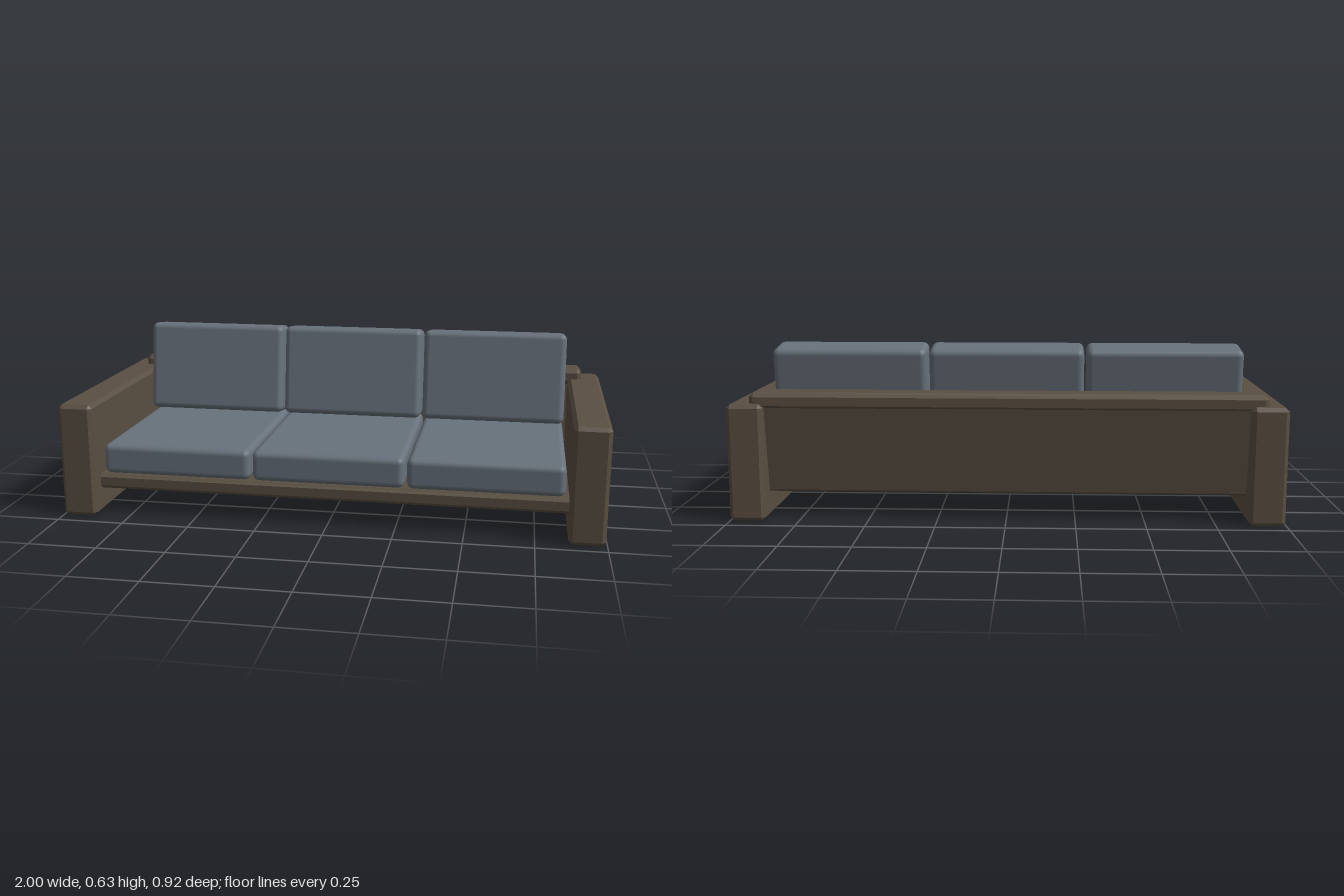
import * as THREE from 'three';
import { RoundedBoxGeometry } from 'three/addons/geometries/RoundedBoxGeometry.js';
import { ConvexGeometry } from 'three/addons/geometries/ConvexGeometry.js';

// Box with a single flat chamfer on every edge
function chamferBox(w, h, d, c) {
  const points = [];
  for (const sx of [-1, 1]) for (const sy of [-1, 1]) for (const sz of [-1, 1]) {
    const x = w / 2, y = h / 2, z = d / 2;
    points.push(
      new THREE.Vector3(sx * x, sy * (y - c), sz * (z - c)),
      new THREE.Vector3(sx * (x - c), sy * y, sz * (z - c)),
      new THREE.Vector3(sx * (x - c), sy * (y - c), sz * z));
  }
  return new ConvexGeometry(points);
}

export function createModel() {
  const sofa = new THREE.Group();
  sofa.name = 'sofa';
  const wood = new THREE.MeshStandardMaterial({ color: 0x5a4f42 });
  const fabric = new THREE.MeshStandardMaterial({ color: 0x68727c });
  const lean = -0.14; // backward tilt of the backrest

  function add(name, geometry, material, x, y, z, tilt = 0) {
    const mesh = new THREE.Mesh(geometry, material);
    mesh.name = name;
    mesh.position.set(x, y, z);
    mesh.rotation.x = tilt;
    sofa.add(mesh);
  }

  // Slab arms that reach the floor
  const arm = chamferBox(0.13, 0.427, 0.905, 0.014);
  add('leftArm', arm, wood, 0.932, 0.2135, 0);
  add('rightArm', arm, wood, -0.932, 0.2135, 0);

  // Seat platform, leaning back panel and the rail capping it
  add('seatPlatform', chamferBox(1.76, 0.057, 0.77, 0.012), wood, 0, 0.122, 0.01);
  add('backPanel', chamferBox(1.76, 0.335, 0.08, 0.008), wood, 0, 0.265, -0.357, lean);
  add('backRail', chamferBox(1.85, 0.064, 0.11, 0.016), wood, -0.005, 0.435, -0.371);

  // Three seat cushions and three back cushions
  const seat = new RoundedBoxGeometry(0.563, 0.115, 0.705, 2, 0.024);
  const back = new RoundedBoxGeometry(0.563, 0.358, 0.142, 2, 0.024);
  for (let i = -1; i <= 1; i++) {
    add('seatCushion', seat, fabric, i * 0.572, 0.2075, 0.035);
    add('backCushion', back, fabric, i * 0.572, 0.446, -0.239, lean);
  }

  // Slight turn of the whole piece
  sofa.rotation.y = -0.0055;
  const model = new THREE.Group();
  model.add(sofa);
  return model;
}
